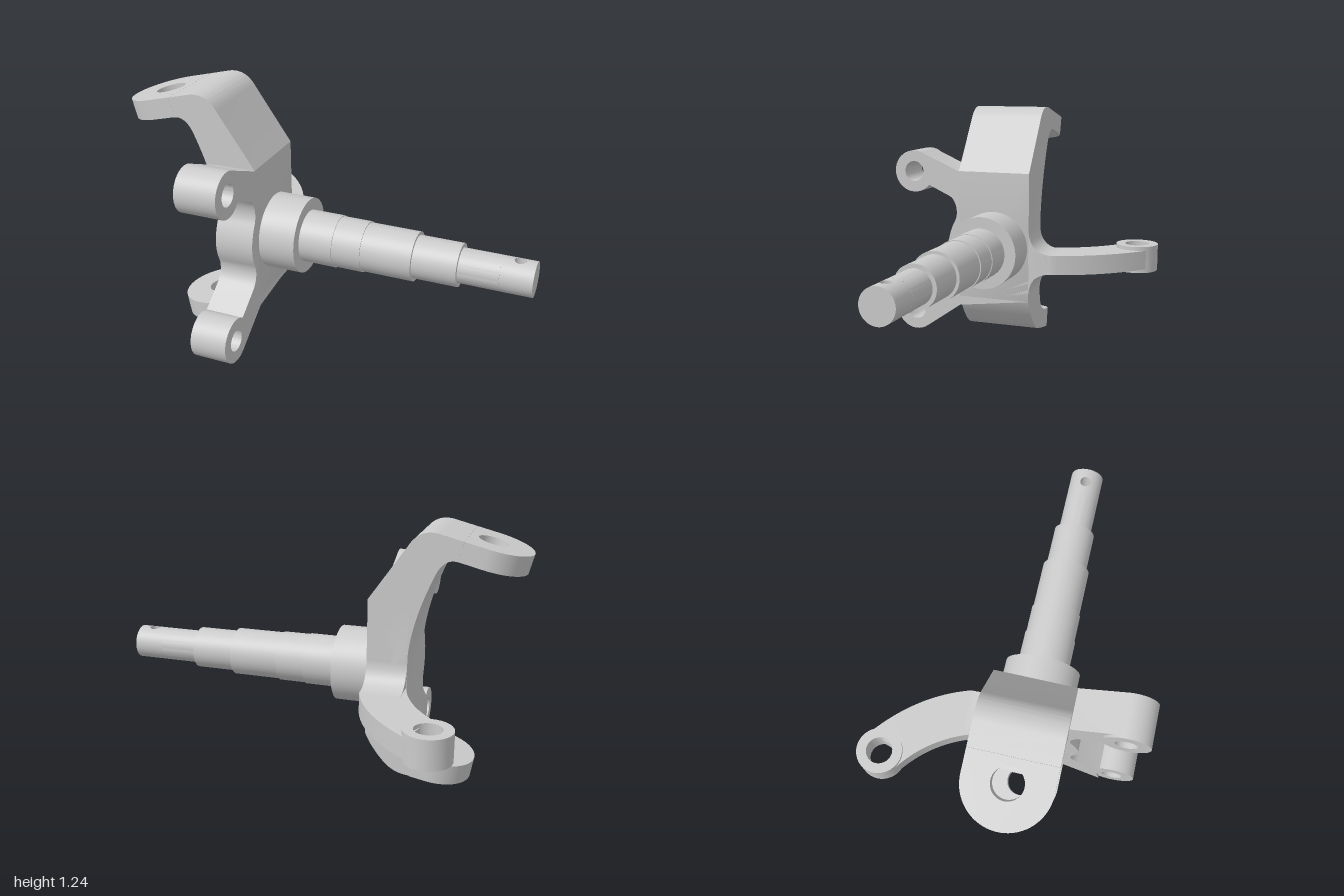
import * as THREE from 'three';
import { toCreasedNormals } from 'three/addons/utils/BufferGeometryUtils.js';
import { ParametricGeometry } from 'three/addons/geometries/ParametricGeometry.js';

const AXIS_Y = 0.53, AXIS_Z = 0.11;   // spindle axis
const HALF = 0.193;                   // half width of the bracket
const FACE = -0.28;                   // outer face of the plate

export function createModel() {
  const group = new THREE.Group();
  const mat = new THREE.MeshStandardMaterial({ color: 0xcccccc });
  const add = (name, geo) => {
    const mesh = new THREE.Mesh(geo, mat);
    mesh.name = name;
    group.add(mesh);
  };
  const extrude = (shape, depth) => toCreasedNormals(
    new THREE.ExtrudeGeometry(shape, { depth, bevelEnabled: false, curveSegments: 20 }), 0.5);
  const circle = (Type, x, y, r) => new Type().absarc(x, y, r, 0, Math.PI * 2, false);
  const ring = (x, y, r, hole) => {
    const s = circle(THREE.Shape, x, y, r);
    s.holes.push(circle(THREE.Path, x, y, hole));
    return s;
  };
  // (z, y) outline pushed from the outer face towards -x
  const sidePart = (shape, depth) => extrude(shape, depth).rotateY(-Math.PI / 2).translate(FACE, 0, 0);
  // (x, -z) outline pushed upwards
  const planPart = (shape, depth) => extrude(shape, depth).rotateX(-Math.PI / 2);

  // Bracket web: C-shaped profile joining the two tabs
  const web = new THREE.Shape();
  web.moveTo(FACE, 0.25);
  web.lineTo(FACE, 0.92);
  web.lineTo(-0.46, 1.18);
  web.quadraticCurveTo(-0.51, 1.262, -0.6, 1.242);
  web.lineTo(-0.709, 1.214);
  web.lineTo(-0.686, 1.121);
  web.bezierCurveTo(-0.64, 1.133, -0.61, 1.1, -0.59, 1.06);
  web.quadraticCurveTo(-0.49, 0.84, -0.475, 0.66);
  web.lineTo(-0.475, 0.3);
  web.quadraticCurveTo(-0.465, 0.165, -0.56, 0.145);
  web.lineTo(-0.519, 0.052);
  web.lineTo(-0.47, 0.058);
  web.quadraticCurveTo(-0.41, 0.07, -0.37, 0.115);
  web.quadraticCurveTo(-0.31, 0.18, FACE, 0.25);
  add('bracketWeb', extrude(web, HALF * 2).translate(0, 0, AXIS_Z - HALF));

  // Upper and lower rounded tabs with a joint hole
  const tab = (name, x, y, angle, length, thick) => {
    const s = new THREE.Shape();
    s.moveTo(length, HALF);
    s.lineTo(HALF, HALF);
    s.absarc(HALF, 0, HALF, Math.PI / 2, Math.PI * 1.5, false);
    s.lineTo(length, -HALF);
    s.holes.push(circle(THREE.Path, HALF, 0, 0.07));
    add(name, planPart(s, thick).rotateZ(angle).translate(x, y, AXIS_Z));
  };
  tab('upperTab', -0.977, 1.048, 0.249, 0.3, 0.095);
  tab('lowerTab', -0.768, 0.005, 0.174, 0.27, 0.1);

  // Plate with arms for the two front ears and fillets for the rear arm
  const plate = new THREE.Shape();
  plate.moveTo(-0.083, 0.25);
  plate.lineTo(0.303, 0.2);
  plate.lineTo(0.498, 0.064);
  plate.lineTo(0.56, 0.102);
  plate.lineTo(0.56, 0.208);
  plate.lineTo(0.49, 0.239);
  plate.lineTo(0.37, 0.325);
  plate.quadraticCurveTo(0.32, 0.37, 0.338, 0.43);
  plate.bezierCurveTo(0.373, 0.5, 0.373, 0.57, 0.33, 0.65);
  plate.bezierCurveTo(0.3, 0.7, 0.325, 0.77, 0.355, 0.785);
  plate.lineTo(0.475, 0.84);
  plate.lineTo(0.56, 0.857);
  plate.lineTo(0.56, 0.963);
  plate.lineTo(0.52, 1.012);
  plate.lineTo(0.303, 0.918);
  plate.lineTo(-0.083, 0.918);
  plate.lineTo(-0.083, 0.62);
  plate.quadraticCurveTo(-0.09, 0.51, -0.2, 0.505);
  plate.lineTo(-0.2, 0.405);
  plate.quadraticCurveTo(-0.09, 0.4, -0.083, 0.29);
  // Keep the ear bores clear
  const notch = (y) => {
    const disc = [];
    plate.getPoints(12).forEach((p) => {
      const d = Math.hypot(p.x - 0.56, p.y - y);
      // corners lying inside an ear are moved to its mid wall
      if (d < 0.09) p.set(0.56 - 0.08 * 0.96, y + Math.sign(p.y - y) * 0.08 * 0.28);
      disc.push(p);
    });
    return disc;
  };
  const clear = notch(0.155).map((p) => {
    const y = 0.91;
    if (Math.hypot(p.x - 0.56, p.y - y) < 0.09) p.set(0.56 - 0.077, y + Math.sign(p.y - y) * 0.022);
    return p;
  });
  add('plate', sidePart(new THREE.Shape(clear), 0.193));

  // Front ears
  add('upperEar', sidePart(ring(0.56, 0.91, 0.11, 0.053), 0.205));
  add('lowerEar', sidePart(ring(0.56, 0.155, 0.11, 0.053), 0.182));

  // Curved rear arm and its eye
  const arm = new THREE.Shape();
  arm.moveTo(FACE, 0.08);
  arm.lineTo(FACE, 0.21);
  arm.quadraticCurveTo(-0.36, 0.46, -0.59, 0.635);
  arm.lineTo(-0.605, 0.59);
  arm.lineTo(-0.64, 0.49);
  arm.lineTo(-0.73, 0.47);
  arm.quadraticCurveTo(-0.53, 0.33, -0.473, 0.08);
  add('rearArm', planPart(arm, 0.1).translate(0, 0.405, 0));
  add('rearEye', planPart(ring(-0.673, 0.565, 0.11, 0.063), 0.14).translate(0, 0.385, 0));

  // Stepped spindle: [radius, start, end] along x
  const tipR = 0.083, tipX = 0.85;
  const steps = [[0.185, -0.3, -0.1], [0.127, -0.1, 0.065], [0.123, 0.065, 0.205],
    [0.118, 0.205, 0.45], [0.103, 0.45, 0.66], [tipR, 0.66, tipX]];
  const profile = steps.flatMap(([r, a, b]) => [new THREE.Vector2(r, a), new THREE.Vector2(r, b)]);
  add('spindle', toCreasedNormals(new THREE.LatheGeometry(profile, 64), 0.6)
    .rotateZ(-Math.PI / 2).translate(0, AXIS_Y, AXIS_Z));

  // Spindle tip: two half-cylinder patches around a cross-drilled pin hole
  const pinX = 0.925, pinR = 0.027, reach = 1 - pinX;
  const patch = (u, v, out) => {
    const t = u * Math.PI * 2, c = Math.cos(t), s = Math.sin(t);
    const k = 1 / Math.max(Math.abs(c), Math.abs(s));
    const x = THREE.MathUtils.lerp(pinR * c, reach * c * k, v);
    const a = THREE.MathUtils.lerp(Math.asin(pinR * s / tipR), Math.PI / 2 * s * k, v);
    out.set(pinX + x, tipR * Math.cos(a), tipR * Math.sin(a));
  };
  for (const turn of [0, Math.PI]) {
    add('spindleTip', new ParametricGeometry(patch, 64, 12).rotateX(turn).translate(0, AXIS_Y, AXIS_Z));
  }
  add('pinHole', new ParametricGeometry((u, v, out) => {
    const t = u * Math.PI * 2, z = pinR * Math.sin(t);
    out.set(pinX + pinR * Math.cos(t), (2 * v - 1) * Math.sqrt(tipR * tipR - z * z), z);
  }, 64, 1).translate(0, AXIS_Y, AXIS_Z));
  add('spindleEnd', new THREE.CircleGeometry(tipR, 64).rotateY(Math.PI / 2).translate(1, AXIS_Y, AXIS_Z));

  return group;
}
